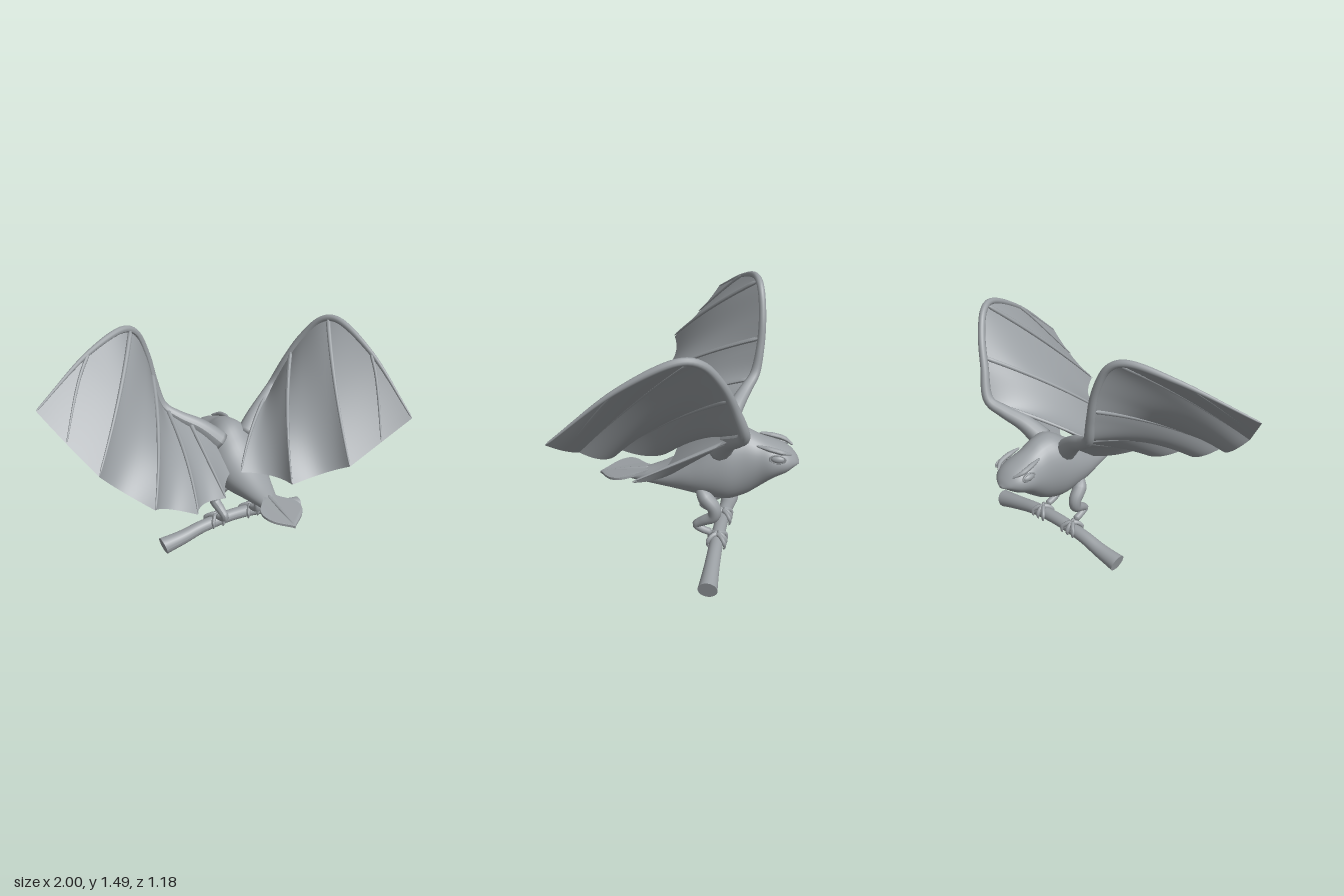
import * as THREE from 'three';

const V = (x, y, z) => new THREE.Vector3(x, y, z);
const spline = (pts) => new THREE.CatmullRomCurve3(pts.map((p) => V(...p)));
const CX = 0.26; // centre line of the body
const grey = new THREE.MeshStandardMaterial({ color: 0x9a9fa3 });
grey.name = 'slate grey';
const thin = new THREE.MeshStandardMaterial({ color: 0x9a9fa3, side: THREE.DoubleSide });
thin.name = 'slate grey membrane';

function add(parent, name, geometry, material = grey) {
  const mesh = new THREE.Mesh(geometry, material);
  mesh.name = name;
  parent.add(mesh);
  return mesh;
}

// Tube whose radius follows radii spread evenly along the path; ends close to a point
function taperTube(curve, radii, segments = 32, sides = 12) {
  const g = new THREE.TubeGeometry(curve, segments, 1, sides);
  const p = g.attributes.position;
  const v = V(0, 0, 0);
  for (let i = 0; i <= segments; i++) {
    const u = i / segments, f = u * (radii.length - 1);
    const k = Math.min(Math.floor(f), radii.length - 2);
    let r = THREE.MathUtils.lerp(radii[k], radii[k + 1], f - k);
    if (i === 0 || i === segments) r = 0.0005;
    const c = curve.getPointAt(u);
    for (let j = 0; j <= sides; j++) {
      const n = i * (sides + 1) + j;
      v.fromBufferAttribute(p, n).sub(c).multiplyScalar(r).add(c);
      p.setXYZ(n, v.x, v.y, v.z);
    }
  }
  g.computeVertexNormals();
  return g;
}

// Grid surface from fn(s, t)
function gridSurface(fn, ns, nt) {
  const pos = [], idx = [];
  for (let i = 0; i <= ns; i++) for (let j = 0; j <= nt; j++) pos.push(...fn(i / ns, j / nt).toArray());
  for (let i = 0; i < ns; i++) for (let j = 0; j < nt; j++) {
    const a = i * (nt + 1) + j, b = a + nt + 1;
    idx.push(a, b, a + 1, b, b + 1, a + 1);
  }
  const g = new THREE.BufferGeometry();
  g.setAttribute('position', new THREE.Float32BufferAttribute(pos, 3));
  g.setIndex(idx);
  g.computeVertexNormals();
  return g;
}

// Wing: arm bone, fingers starting along it, and a skin that sags between them.
// bow bends the fingers, lift sets them on the upper side, sag hollows each panel towards the hem
function makeWing(name, armPts, tips, { bow, lift, sag }) {
  const wing = new THREE.Group();
  wing.name = name;
  const arm = spline(armPts);
  const onArm = (k) => arm.getPoint(k / (armPts.length - 1));
  add(wing, 'armBone', taperTube(arm, [0.07, 0.048, 0.032, 0.025, 0.022, 0.021, 0.018, 0.013, 0.008, 0.005], 80));

  const starts = [7, 6.5, 4.3, 2.7, 1.5, 0.5];
  const bends = [0, 0.8, 1, 0.8, 0, 0];
  const ribs = tips.map((tip, i) => {
    if (i === 0) return (t) => onArm(7 + 2 * t);
    const a = onArm(starts[i]), b = V(...tip);
    const mid = a.clone().lerp(b, 0.5).addScaledVector(V(...bow), 2 * bends[i]);
    const c = new THREE.QuadraticBezierCurve3(a, mid, b);
    if (i < 5) add(wing, 'fingerBone', taperTube(c, [0.014, 0.012, 0.009, 0.005], 24, 8)).position.set(...lift);
    return (t) => c.getPoint(t);
  });

  for (let i = 0; i < ribs.length - 1; i++) {
    const [A, B] = [ribs[i], ribs[i + 1]];
    const depth = [0.2, 0.9, 1, 0.9, 0.3][i];
    const skin = (s, t) => {
      const w = 4 * s * (1 - s);
      const p = A(t).lerp(B(t), s);
      const base = onArm(THREE.MathUtils.lerp(starts[i], starts[i + 1], s)).sub(A(0).lerp(B(0), s));
      return p.addScaledVector(base, 1 - t).addScaledVector(V(...sag), depth * w * Math.pow(t, 1.4));
    };
    add(wing, 'membrane', gridSurface(skin, 14, 24), thin);
    // short outer finger lying in the first panel
    if (i === 0) {
      const c = new THREE.CatmullRomCurve3([skin(0, 0.5), skin(0.13, 0.62), skin(0.27, 0.75), skin(0.5, 1)]);
      add(wing, 'outerFinger', taperTube(c, [0.01, 0.008, 0.004], 20, 8)).position.set(...lift);
    }
  }
  return wing;
}

function makeBody() {
  // z, top, bottom, half width
  const st = [
    [-0.598, 0.612, 0.598, 0.015], [-0.575, 0.65, 0.585, 0.06], [-0.53, 0.69, 0.55, 0.104],
    [-0.46, 0.722, 0.51, 0.126], [-0.38, 0.75, 0.445, 0.122], [-0.3, 0.785, 0.388, 0.132],
    [-0.2, 0.79, 0.354, 0.158], [-0.1, 0.725, 0.368, 0.162], [0, 0.645, 0.385, 0.145],
    [0.1, 0.58, 0.4, 0.112], [0.2, 0.53, 0.411, 0.08], [0.31, 0.488, 0.422, 0.045], [0.415, 0.443, 0.433, 0.008]];
  const profile = new THREE.CatmullRomCurve3(st.map((s) => V(s[0], s[1], s[2])), false, 'catmullrom');
  const widths = new THREE.CatmullRomCurve3(st.map((s) => V(s[3], 0, 0)), false, 'catmullrom');
  const g = new THREE.CylinderGeometry(1, 1, 1, 36, 60).rotateX(Math.PI / 2);
  const p = g.attributes.position;
  for (let i = 0; i < p.count; i++) {
    const u = THREE.MathUtils.clamp(p.getZ(i) + 0.5, 0, 1);
    const c = profile.getPoint(u), w = widths.getPoint(u).x;
    p.setXYZ(i, CX + p.getX(i) * w, (c.y + c.z) / 2 + p.getY(i) * (c.y - c.z) / 2, c.x);
  }
  g.computeVertexNormals();
  return g;
}

function makeTailFan() {
  const s = new THREE.Shape();
  s.moveTo(0, 0.545);
  s.bezierCurveTo(0.04, 0.5, 0.12, 0.48, 0.128, 0.4);
  s.bezierCurveTo(0.125, 0.33, 0.06, 0.31, 0.03, 0.24);
  s.lineTo(-0.03, 0.24);
  s.bezierCurveTo(-0.06, 0.31, -0.125, 0.33, -0.128, 0.4);
  s.bezierCurveTo(-0.12, 0.48, -0.04, 0.5, 0, 0.545);
  const g = new THREE.ExtrudeGeometry(s, { depth: 0.014, bevelEnabled: false, curveSegments: 16 }).rotateX(Math.PI / 2);
  const p = g.attributes.position;
  for (let i = 0; i < p.count; i++) {
    const x = p.getX(i), z = p.getZ(i);
    p.setXYZ(i, CX + x, p.getY(i) + 0.497 - (z - 0.29) * 0.16 + x * x * 0.6, z);
  }
  g.computeVertexNormals();
  return g;
}

function makeBranch() {
  const line = spline([[-0.24, 0.054, -0.16], [-0.1, 0.078, -0.16], [0.03, 0.112, -0.16], [0.26, 0.136, -0.16],
    [0.45, 0.125, -0.16], [0.6, 0.096, -0.16], [0.765, 0.06, -0.16]]);
  const g = new THREE.CylinderGeometry(1, 1, 1, 24, 40).rotateZ(-Math.PI / 2);
  const p = g.attributes.position;
  for (let i = 0; i < p.count; i++) {
    const u = p.getX(i) + 0.5, c = line.getPointAt(u);
    const r = 0.039 + 0.015 * Math.pow(Math.abs(2 * u - 1), 3);
    const slant = (u - 0.5) * p.getY(i) * 0.03;
    p.setXYZ(i, c.x + slant, c.y + p.getY(i) * r, c.z + p.getZ(i) * r);
  }
  g.computeVertexNormals();
  return g;
}

export function createModel() {
  const model = new THREE.Group();
  model.name = 'wingedCreature';
  add(model, 'body', makeBody());
  add(model, 'tailFan', makeTailFan());
  add(model, 'tailRidge', taperTube(spline([[CX, 0.5, 0.24], [CX, 0.485, 0.36], [CX, 0.458, 0.535]]), [0.012, 0.01, 0.003], 20, 8));
  add(model, 'branch', makeBranch());

  for (const s of [-1, 1]) {
    const X = (x) => CX + s * x;
    // eye, lid and brow
    const eye = add(model, 'eye', new THREE.SphereGeometry(1, 20, 14));
    eye.scale.set(0.022, 0.022, 0.04);
    eye.position.set(X(0.112), 0.668, -0.485);
    const lid = add(model, 'eyelid', new THREE.TorusGeometry(1, 0.16, 8, 28).rotateY(Math.PI / 2));
    lid.scale.set(0.03, 0.024, 0.042);
    lid.position.set(X(0.116), 0.668, -0.485);
    add(model, 'brow', taperTube(spline([[X(0.085), 0.727, -0.365], [X(0.092), 0.716, -0.43], [X(0.09), 0.697, -0.51], [X(0.06), 0.675, -0.56]]),
      [0.005, 0.015, 0.015, 0.005], 20, 10));
    // leg with folded knee
    add(model, 'leg', taperTube(spline([[X(0.1), 0.45, -0.06], [X(0.132), 0.41, -0.09], [X(0.143), 0.345, -0.145], [X(0.14), 0.295, -0.14],
      [X(0.13), 0.255, -0.08], [X(0.122), 0.222, -0.04], [X(0.122), 0.195, -0.075], [X(0.124), 0.178, -0.13]]),
    [0.03, 0.043, 0.04, 0.036, 0.031, 0.025, 0.022, 0.02], 48, 14));
    // toes wrapped round the branch
    for (const [spread, dir] of [[-0.045, -1], [0, -1], [0.045, -1], [-0.035, 1], [0.035, 1]]) {
      const pts = [0, 0.5, 1.1, 1.7, 2.1].map((a, k) =>
        [X(0.13 + spread * Math.min(1, k / 2)), 0.126 + 0.05 * Math.cos(a), -0.16 + dir * 0.05 * Math.sin(a)]);
      add(model, 'toe', taperTube(spline(pts), [0.016, 0.014, 0.012, 0.003], 20, 8));
    }
  }

  // raised wing
  model.add(makeWing('rightWing',
    [[0.18, 0.68, -0.16], [0.05, 0.805, -0.21], [-0.07, 0.88, -0.26], [-0.15, 0.95, -0.305], [-0.19, 1.1, -0.33],
      [-0.23, 1.28, -0.335], [-0.3, 1.43, -0.315], [-0.38, 1.472, -0.285], [-0.63, 1.415, -0.18], [-1, 1.24, 0.02]],
    [[-1, 1.24, 0.02], [-0.79, 0.94, 0.29], [-0.54, 0.73, 0.41], [-0.285, 0.62, 0.4], [-0.04, 0.58, 0.27], [0.125, 0.577, 0.03]],
    { bow: [0.02, 0.025, 0.018], lift: [0.0015, 0.004, 0.004], sag: [-0.01, -0.018, -0.075] }));
  // wing swept across the back
  model.add(makeWing('leftWing',
    [[0.34, 0.68, -0.16], [0.45, 0.79, -0.22], [0.56, 0.86, -0.285], [0.64, 0.92, -0.325], [0.71, 1.1, -0.28],
      [0.78, 1.25, -0.225], [0.85, 1.37, -0.14], [0.893, 1.395, -0.05], [0.95, 1.265, 0.23], [0.995, 0.98, 0.585]],
    [[0.995, 0.98, 0.585], [0.61, 0.75, 0.547], [0.325, 0.635, 0.4], [0.165, 0.61, 0.1], [0.6, 0.585, 0.27], [0.41, 0.58, 0.05]],
    { bow: [-0.03, 0.026, 0], lift: [-0.004, 0.004, 0.0015], sag: [0.06, -0.022, -0.048] }));
  return model;
}
